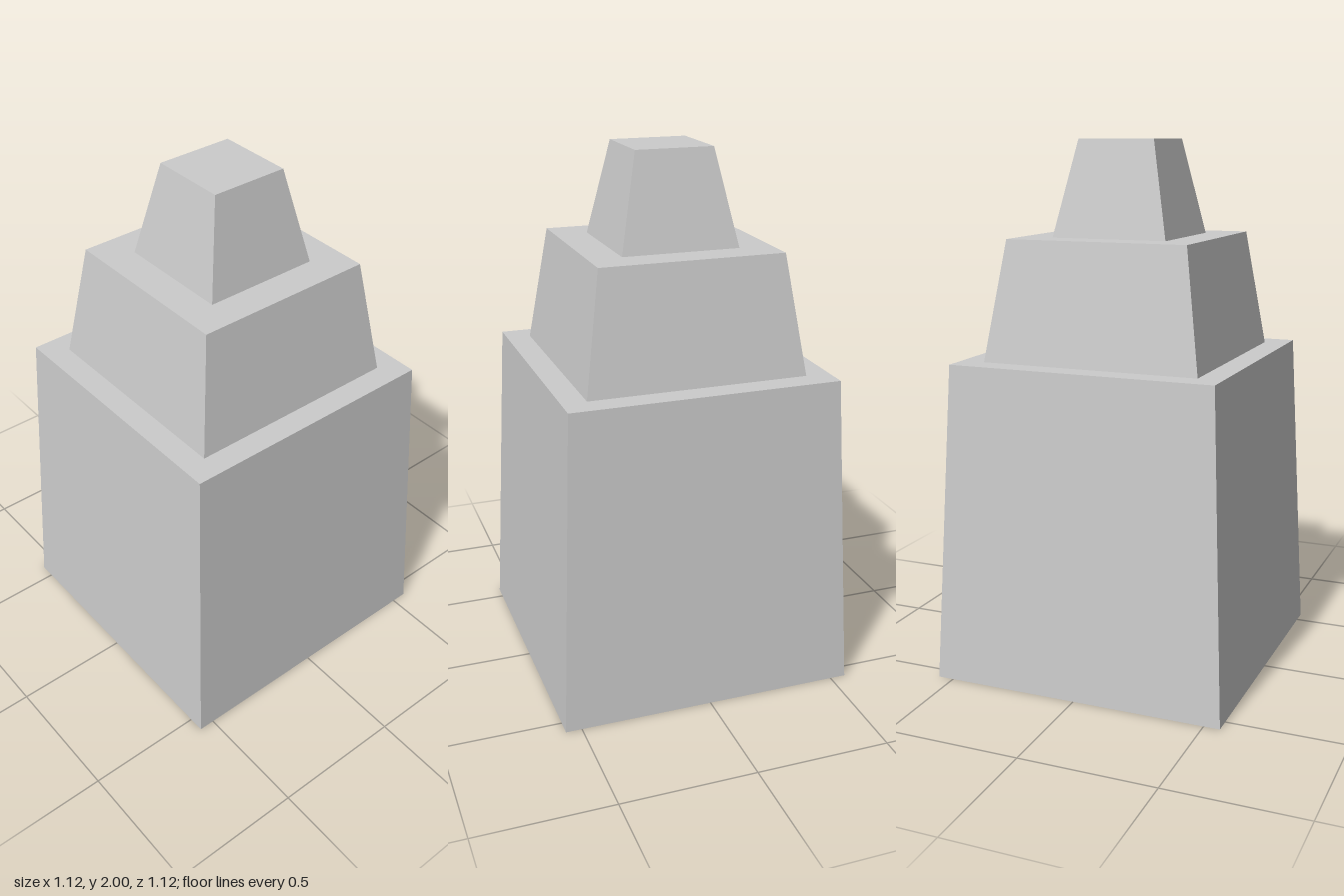
import * as THREE from 'three';

// Square tapered block standing on y = 0, given half widths at its base and top
function taperedBlock(bottom, top, height) {
  const geometry = new THREE.CylinderGeometry(top * Math.SQRT2, bottom * Math.SQRT2, height, 4);
  geometry.rotateY(Math.PI / 4);
  geometry.translate(0, height / 2, 0);
  return geometry;
}

export function createModel() {
  const group = new THREE.Group();
  group.name = 'steppedTower';
  const material = new THREE.MeshStandardMaterial({ color: 0xcccccc, flatShading: true });

  // Three stacked tiers, each narrower and more steeply tapered
  const tiers = [
    { name: 'lowerTier', y0: 0, y1: 1.2, bottom: 0.56, top: 0.505 },
    { name: 'middleTier', y0: 1.2, y1: 1.645, bottom: 0.413, top: 0.346 },
    { name: 'upperTier', y0: 1.645, y1: 2, bottom: 0.221, top: 0.147 },
  ];
  for (const { name, y0, y1, bottom, top } of tiers) {
    const tier = new THREE.Mesh(taperedBlock(bottom, top, y1 - y0), material);
    tier.name = name;
    tier.position.y = y0;
    group.add(tier);
  }
  return group;
}
